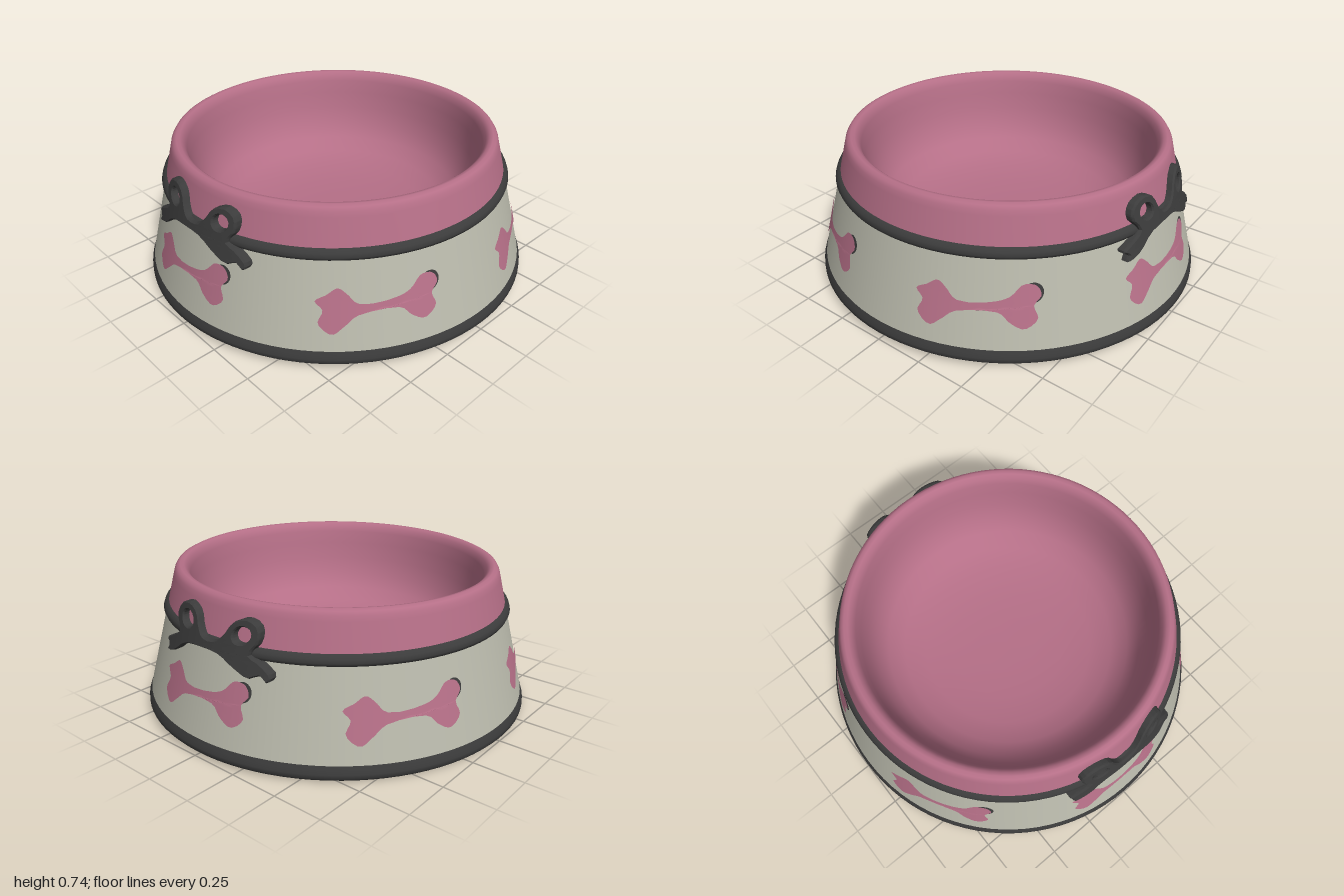
import * as THREE from 'three';
import { toCreasedNormals } from 'three/addons/utils/BufferGeometryUtils.js';

const mat = (name, color) => {
  const m = new THREE.MeshStandardMaterial({ color });
  m.name = name;
  return m;
};

// Radius of the sloping outer wall at height y
const wall = (y) => 1.005 - 0.255 * y;

const vec = (pts) => pts.map(([x, y]) => new THREE.Vector2(x, y));

function lathe(name, pts, material) {
  const mesh = new THREE.Mesh(new THREE.LatheGeometry(vec(pts), 96), material);
  mesh.name = name;
  return mesh;
}

// Rounded closed outline through a few points
function outline(pts) {
  const curve = new THREE.CatmullRomCurve3(pts.map(([x, y]) => new THREE.Vector3(x, y, 0)), true, 'centripetal');
  return new THREE.Shape(curve.getPoints(64).slice(0, -1).map((p) => new THREE.Vector2(p.x, p.y)));
}

// Split every triangle in four so a flat plate can bend
function subdivide(geo, levels) {
  let tris = Array.from(geo.toNonIndexed().attributes.position.array);
  for (let l = 0; l < levels; l++) {
    const out = [];
    for (let i = 0; i < tris.length; i += 9) {
      const [a, b, c] = [0, 3, 6].map((k) => tris.slice(i + k, i + k + 3));
      const mid = (p, q) => p.map((v, k) => (v + q[k]) / 2);
      const ab = mid(a, b), bc = mid(b, c), ca = mid(c, a);
      out.push(...[a, ab, ca, ab, b, bc, ca, bc, c, ab, bc, ca].flat());
    }
    tris = out;
  }
  const g = new THREE.BufferGeometry();
  g.setAttribute('position', new THREE.Float32BufferAttribute(tris, 3));
  return g;
}

// Bend a plate around the wall; z becomes the distance out of the wall
function wrap(geo) {
  const g = subdivide(geo, 3);
  const p = g.attributes.position;
  for (let i = 0; i < p.count; i++) {
    const r = wall(p.getY(i)) + p.getZ(i);
    const a = Math.asin(p.getX(i) / r);
    p.setXYZ(i, r * Math.sin(a), p.getY(i), r * Math.cos(a));
  }
  return toCreasedNormals(g, 0.6);
}

export function createModel() {
  const pink = mat('pink', 0xb56f87);
  const cream = mat('cream', 0xb9b9ab);
  const dark = mat('charcoal', 0x3b3b3b);

  const bowl = new THREE.Group();
  bowl.name = 'petBowl';

  // Underside: hollow shell and stepped foot ring
  bowl.add(lathe('bowlUnderside', [[0, 0.225], [0.3, 0.235], [0.48, 0.26], [0.6, 0.31], [0.68, 0.4], [0.74, 0.54]], cream));
  bowl.add(lathe('innerWall', [[0.74, 0.54], [0.78, 0.4], [0.81, 0.2], [0.83, 0.06], [0.835, 0.03]], cream));
  bowl.add(lathe('footRing', [[0.835, 0.03], [0.85, 0.018], [0.88, 0.018], [0.895, 0.035], [0.915, 0.035], [0.93, 0.016], [0.965, 0.016]], cream));

  // Outer wall and trim bands
  bowl.add(lathe('baseBand', [[0.965, 0.016], [0.985, 0.018], [0.998, 0.032], [0.997, 0.05], [0.99, 0.07], [wall(0.087), 0.087]], dark));
  bowl.add(lathe('outerWall', [[wall(0.085), 0.085], [wall(0.51), 0.51]], cream));
  bowl.add(lathe('ribbonBand', [[0.872, 0.497], [0.886, 0.503], [0.892, 0.518], [0.886, 0.535], [0.874, 0.548], [0.862, 0.552]], dark));

  // Pink collar, rounded rim and dish in one profile
  bowl.add(lathe('dishAndRim', [
    [wall(0.535), 0.535], [wall(0.6), 0.6], [wall(0.68), 0.68], [0.825, 0.705], [0.814, 0.722], [0.798, 0.73],
    [0.78, 0.727], [0.763, 0.712], [0.75, 0.68], [0.738, 0.61], [0.72, 0.52], [0.69, 0.43],
    [0.64, 0.355], [0.56, 0.3], [0.45, 0.265], [0.3, 0.247], [0.15, 0.241], [0, 0.24],
  ], pink));

  // Bones around the wall, each with a small dark shadow at one knob
  const boneShape = outline([
    [-0.3, 0.32], [-0.27, 0.28], [-0.295, 0.22], [-0.24, 0.17], [-0.18, 0.21], [-0.12, 0.255], [0.07, 0.265],
    [0.12, 0.22], [0.185, 0.19], [0.24, 0.235], [0.22, 0.295], [0.25, 0.34], [0.225, 0.385], [0.17, 0.39],
    [0.12, 0.34], [0.06, 0.317], [-0.12, 0.308], [-0.16, 0.35], [-0.2, 0.38], [-0.25, 0.35],
  ]);
  const boneGeo = wrap(new THREE.ShapeGeometry(boneShape).translate(0, 0, 0.006));
  const shadowShape = new THREE.Shape().absarc(0.213, 0.35, 0.046, 0, Math.PI * 2);
  const shadowGeo = wrap(new THREE.ShapeGeometry(shadowShape, 12).translate(0, 0, 0.003));
  for (let i = 0; i < 6; i++) {
    const decoration = new THREE.Group();
    decoration.name = 'boneDecoration';
    const bone = new THREE.Mesh(boneGeo, pink);
    bone.name = 'bone';
    const shadow = new THREE.Mesh(shadowGeo, dark);
    shadow.name = 'boneShadow';
    decoration.add(bone, shadow);
    decoration.rotation.y = (i * Math.PI) / 3;
    bowl.add(decoration);
  }

  // Raised ribbon bows on front and back, with open loops
  const bowShape = outline([
    [-0.3, 0.41], [-0.22, 0.43], [-0.14, 0.485], [-0.03, 0.5], [0.08, 0.495], [0.17, 0.455], [0.25, 0.425],
    [0.3, 0.445], [0.335, 0.42], [0.35, 0.45], [0.29, 0.5], [0.24, 0.525], [0.27, 0.58], [0.265, 0.64], [0.21, 0.67],
    [0.14, 0.645], [0.09, 0.575], [0.05, 0.548], [-0.02, 0.548], [-0.05, 0.58], [-0.085, 0.645], [-0.15, 0.67],
    [-0.22, 0.645], [-0.24, 0.59], [-0.2, 0.53], [-0.25, 0.495], [-0.315, 0.46], [-0.285, 0.44],
  ]);
  for (const [x, tilt] of [[-0.145, 0.35], [0.19, -0.35]]) {
    bowShape.holes.push(new THREE.Path().absellipse(x, 0.597, 0.045, 0.036, 0, Math.PI * 2, true, -tilt));
  }
  const bowGeo = wrap(new THREE.ExtrudeGeometry(bowShape, {
    depth: 0.035, bevelEnabled: true, bevelSize: 0.006, bevelOffset: -0.006, bevelThickness: 0.008, bevelSegments: 1, curveSegments: 8,
  }).translate(0, 0, -0.008));
  for (const [name, turn] of [['frontBow', 0], ['backBow', Math.PI]]) {
    const bow = new THREE.Mesh(bowGeo, dark);
    bow.name = name;
    bow.rotation.y = turn;
    bowl.add(bow);
  }

  // The bowl leans very slightly to one side
  bowl.rotation.z = 0.0125;
  const model = new THREE.Group();
  model.name = 'model';
  model.add(bowl);
  return model;
}
